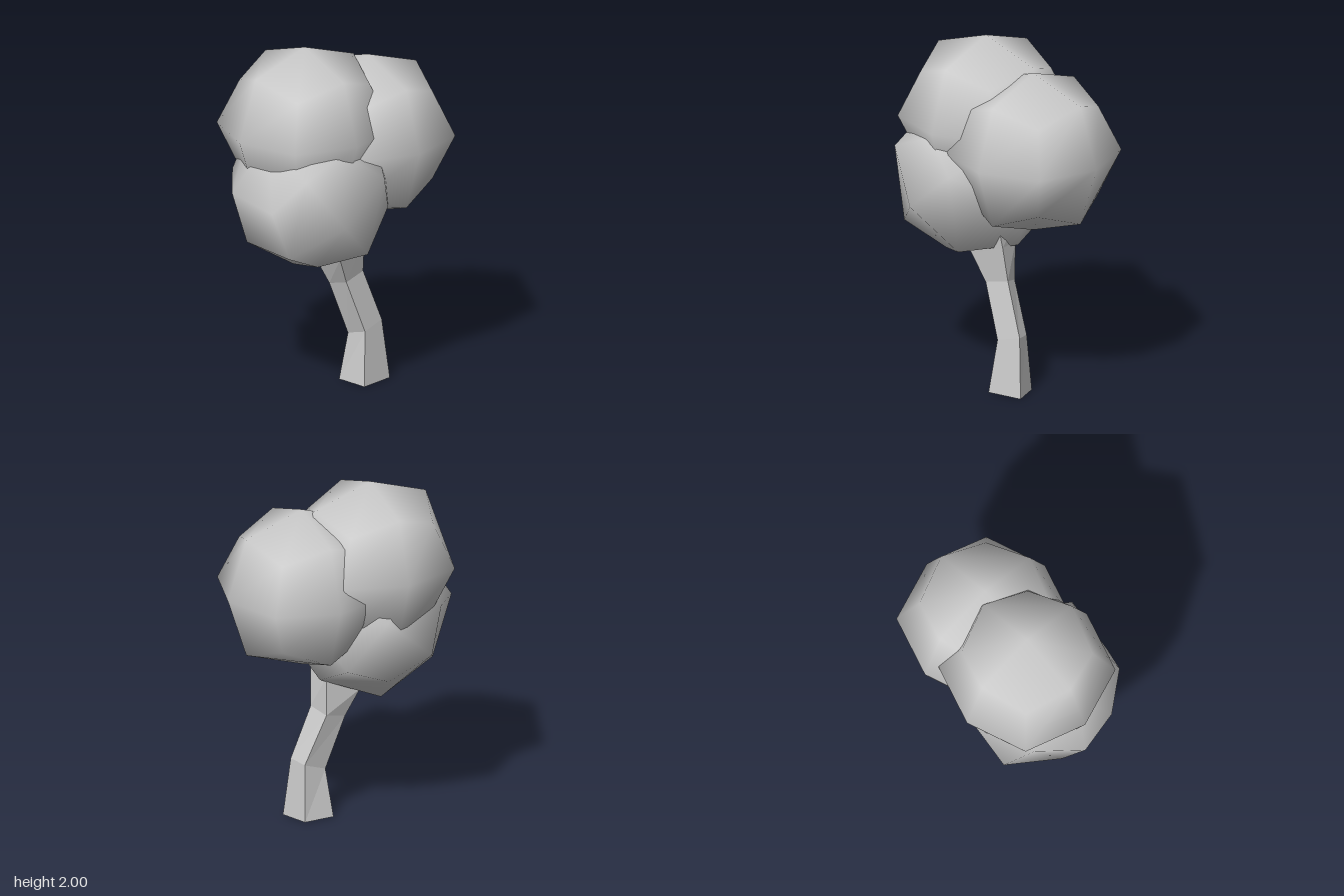
import * as THREE from 'three';
import { mergeVertices } from 'three/addons/utils/BufferGeometryUtils.js';

const material = new THREE.MeshStandardMaterial({ color: 0xcccccc });
const trunkMaterial = new THREE.MeshStandardMaterial({ color: 0xcccccc, flatShading: true });

// Cube rounded by one subdivision: edge points pulled to 3/4, corners to 5/9
function foliageGeometry(size) {
  const box = new THREE.BoxGeometry(2, 2, 2, 2, 2, 2);
  box.deleteAttribute('normal');
  box.deleteAttribute('uv');
  const geometry = mergeVertices(box);
  const pos = geometry.attributes.position;
  const pull = [0, 1, 3 / 4, 5 / 9];
  const v = new THREE.Vector3();
  for (let i = 0; i < pos.count; i++) {
    v.fromBufferAttribute(pos, i);
    const outward = [v.x, v.y, v.z].filter((c) => Math.abs(c) > 0.5).length;
    v.multiplyScalar(size * pull[outward]);
    pos.setXYZ(i, v.x, v.y, v.z);
  }
  geometry.computeVertexNormals();
  return geometry;
}

// Four-sided trunk lofted through rings of corners: front, right, back, left
function trunkGeometry(rings) {
  const points = [];
  const quad = (a, b, c, d) => points.push(...a, ...b, ...c, ...a, ...c, ...d);
  for (let r = 0; r < rings.length - 1; r++) {
    for (let i = 0; i < 4; i++) {
      const j = (i + 1) % 4;
      quad(rings[r][i], rings[r][j], rings[r + 1][j], rings[r + 1][i]);
    }
  }
  quad(...[...rings[0]].reverse());
  quad(...rings[rings.length - 1]);
  const geometry = new THREE.BufferGeometry();
  geometry.setAttribute('position', new THREE.Float32BufferAttribute(points, 3));
  geometry.computeVertexNormals();
  return geometry;
}

export function createModel() {
  const tree = new THREE.Group();
  tree.name = 'tree';

  // Bent trunk, flaring at the foot and into the crown
  const trunk = new THREE.Mesh(trunkGeometry([
    [[0.17, 0, 0.12], [0.30, 0, -0.045], [0.15, 0, -0.125], [0.02, 0, 0.0]],
    [[0.17, 0.31, 0.07], [0.255, 0.345, -0.045], [0.16, 0.33, -0.095], [0.07, 0.28, 0.01]],
    [[0.07, 0.62, 0.125], [0.155, 0.65, 0.01], [0.05, 0.62, -0.04], [-0.03, 0.59, 0.06]],
    [[0.04, 0.78, 0.20], [0.165, 0.85, 0.04], [0.05, 0.85, -0.045], [-0.11, 0.75, 0.08]],
    [[0.02, 0.90, 0.25], [0.17, 0.96, 0.06], [0.05, 0.96, -0.045], [-0.14, 0.86, 0.09]],
  ]), trunkMaterial);
  trunk.name = 'trunk';
  tree.add(trunk);

  // Crown of three overlapping foliage clumps
  const geometry = foliageGeometry(0.465);
  const addClump = (name, x, y, z) => {
    const clump = new THREE.Mesh(geometry, material);
    clump.name = name;
    clump.position.set(x, y, z);
    tree.add(clump);
    return clump;
  };
  const yaw = THREE.MathUtils.degToRad(43);
  addClump('topFoliage', -0.165, 1.535, 0.098).rotation.y = yaw;
  addClump('backFoliage', 0.168, 1.42, -0.13).rotation.y = yaw;

  // Lower clump is tilted
  const lower = addClump('lowerFoliage', -0.13, 1.19, 0.16);
  const zAxis = new THREE.Vector3(0.46, -0.76, -0.46).normalize();
  const yAxis = new THREE.Vector3().crossVectors(zAxis, new THREE.Vector3(-0.768, -0.58, 0.30)).normalize();
  const xAxis = new THREE.Vector3().crossVectors(yAxis, zAxis);
  lower.quaternion.setFromRotationMatrix(new THREE.Matrix4().makeBasis(xAxis, yAxis, zAxis));

  return tree;
}
